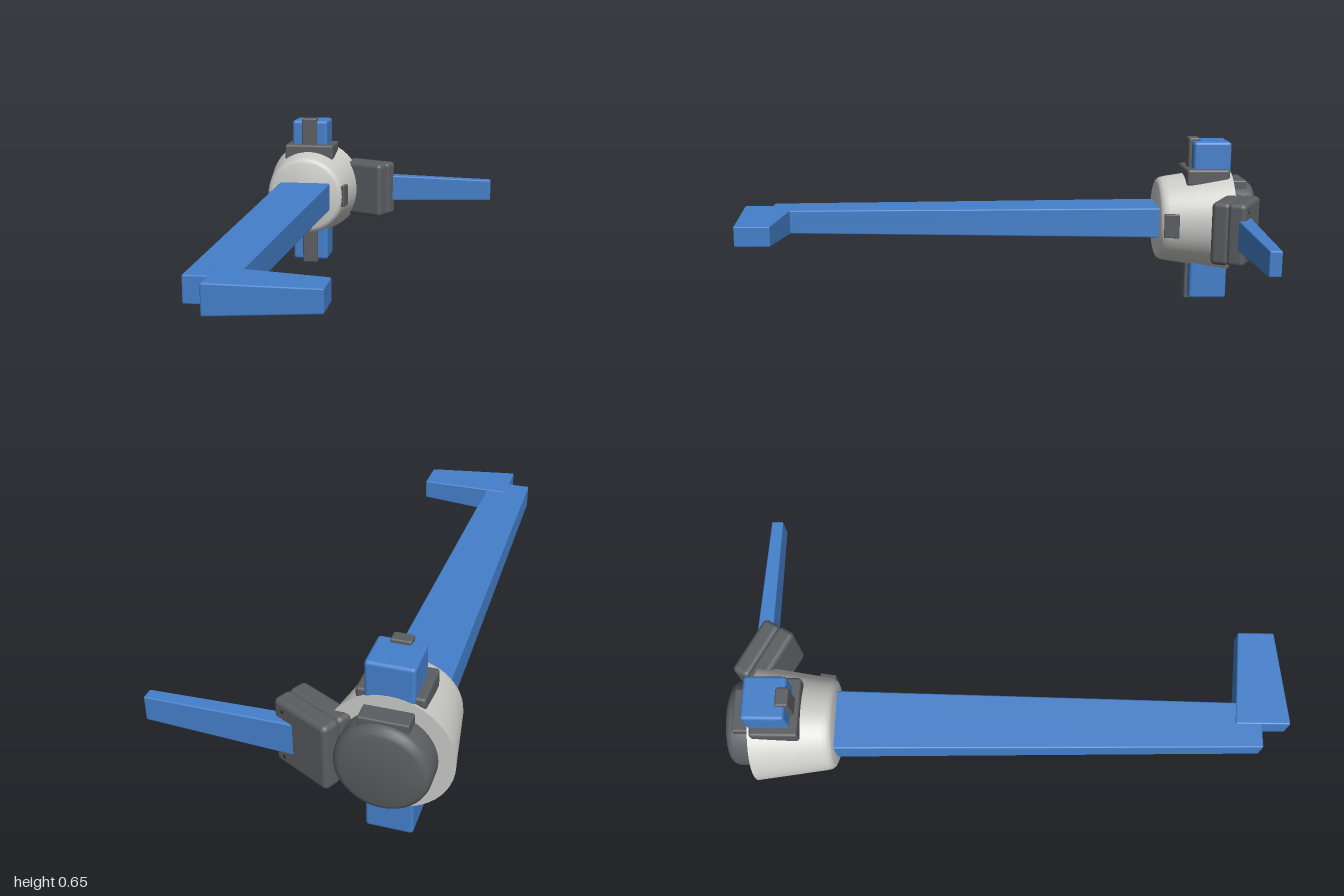
import * as THREE from 'three';
import { toCreasedNormals } from 'three/addons/utils/BufferGeometryUtils.js';
import { RoundedBoxGeometry } from 'three/addons/geometries/RoundedBoxGeometry.js';

const CX = -0.293, CY = 0.325; // hub axis, running along z

export function createModel() {
  const mat = (name, color) => {
    const m = new THREE.MeshStandardMaterial({ color });
    m.name = name;
    return m;
  };
  const blue = mat('blue', 0x4480cb);
  const dark = mat('darkGrey', 0x5b5e61);
  const light = mat('lightGrey', 0xcbcbc8);
  const black = mat('screwBlack', 0x2c2e30);

  const root = new THREE.Group();
  root.name = 'model';
  const add = (name, geometry, material, parent = root) => {
    const mesh = new THREE.Mesh(geometry, material);
    mesh.name = name;
    parent.add(mesh);
    return mesh;
  };

  // Rounded box given by its extents
  const box = (name, [x0, x1], [y0, y1], [z0, z1], r, material, parent) => {
    const g = new RoundedBoxGeometry(x1 - x0, y1 - y0, z1 - z0, 3, r);
    g.translate((x0 + x1) / 2, (y0 + y1) / 2, (z0 + z1) / 2);
    return add(name, g, material, parent);
  };

  // Beam of unit length axis 'x' or 'z', with a centre and size [u, y] at each end
  const taper = (name, axis, start, end, material) => {
    const len = end.at - start.at;
    const g = new RoundedBoxGeometry(
      axis === 'x' ? len : start.w, start.h, axis === 'x' ? start.w : len, 2, 0.006);
    const p = g.attributes.position;
    for (let i = 0; i < p.count; i++) {
      const along = axis === 'x' ? p.getX(i) : p.getZ(i);
      const across = axis === 'x' ? p.getZ(i) : p.getX(i);
      const t = along / len + 0.5;
      const a = start.at + t * len;
      const c = THREE.MathUtils.lerp(start.c, end.c, t)
        + across * THREE.MathUtils.lerp(1, end.w / start.w, t);
      const y = CY + p.getY(i) * THREE.MathUtils.lerp(1, end.h / start.h, t);
      p.setXYZ(i, axis === 'x' ? a : c, y, axis === 'x' ? c : a);
    }
    return add(name, g, material);
  };

  // Solid of revolution around the hub axis; profile of [radius, z] from back to front
  const turned = (name, profile, material) => {
    const g = new THREE.LatheGeometry(profile.map(([r, z]) => new THREE.Vector2(r, z)), 48);
    g.rotateX(Math.PI / 2);
    g.translate(CX, CY, 0);
    return add(name, toCreasedNormals(g, 0.6), material);
  };

  // Conical hub and rear cap
  turned('hub', [[0, -0.906], [0.205, -0.906], [0.167, -0.66], [0.163, -0.643],
    [0.155, -0.632], [0.143, -0.627], [0, -0.627]], light);
  turned('rearCap', [[0, -0.999], [0.125, -0.999], [0.137, -0.995], [0.147, -0.984],
    [0.151, -0.97], [0.151, -0.9], [0, -0.9]], dark);
  box('capBlock', [CX - 0.078, CX + 0.078], [0.42, 0.487], [-0.968, -0.89], 0.006, dark);
  const button = box('sideButton', [-0.014, 0.014], [-0.046, 0.046], [-0.029, 0.029], 0.004, dark);
  button.position.set(-0.132, CY, -0.668);
  button.rotation.y = -0.14;

  // Upper and lower blocks with their front clips
  for (const s of [1, -1]) {
    const side = s > 0 ? 'upper' : 'lower';
    const span = (a, b) => [CY + s * a, CY + s * b].sort((p, q) => p - q);
    box(side + 'Block', [CX - 0.077, CX + 0.077], span(0.12, 0.311), [-0.904, -0.758], 0.012, blue);
    box(side + 'Clip', [CX - 0.033, CX + 0.033], span(0.12, 0.323), [-0.79, -0.745], 0.007, dark);
  }
  box('upperCollar', [CX - 0.106, CX + 0.106], [0.468, 0.533], [-0.896, -0.73], 0.01, dark);

  // Long beam with its cross foot, and the rear side arm
  taper('longBeam', 'z', { at: -0.66, c: -0.293, w: 0.217, h: 0.118 },
    { at: 0.897, c: -0.293, w: 0.164, h: 0.09 }, blue);
  taper('foot', 'x', { at: -0.291, c: 0.9, w: 0.197, h: 0.102 },
    { at: 0.063, c: 0.899, w: 0.132, h: 0.076 }, blue);
  taper('sideArm', 'x', { at: -0.03, c: -0.909, w: 0.059, h: 0.118 },
    { at: 0.496, c: -0.904, w: 0.043, h: 0.088 }, blue);

  // Angled hinge made of two stacked plates
  const hinge = new THREE.Group();
  hinge.name = 'hinge';
  hinge.position.set(-0.057, CY, -0.894);
  hinge.rotation.y = -0.472;
  root.add(hinge);
  box('frontPlate', [-0.112, 0.112], [-0.118, 0.118], [-0.004, 0.064], 0.018, dark, hinge);
  box('rearPlate', [-0.112, 0.112], [-0.118, 0.118], [-0.064, 0.004], 0.018, dark, hinge);
  for (const y of [-0.085, 0.085]) {
    const g = new THREE.CylinderGeometry(0.006, 0.006, 0.004, 10);
    g.rotateX(Math.PI / 2);
    add('screw', g, black, hinge).position.set(0.07, y, -0.064);
  }
  return root;
}
